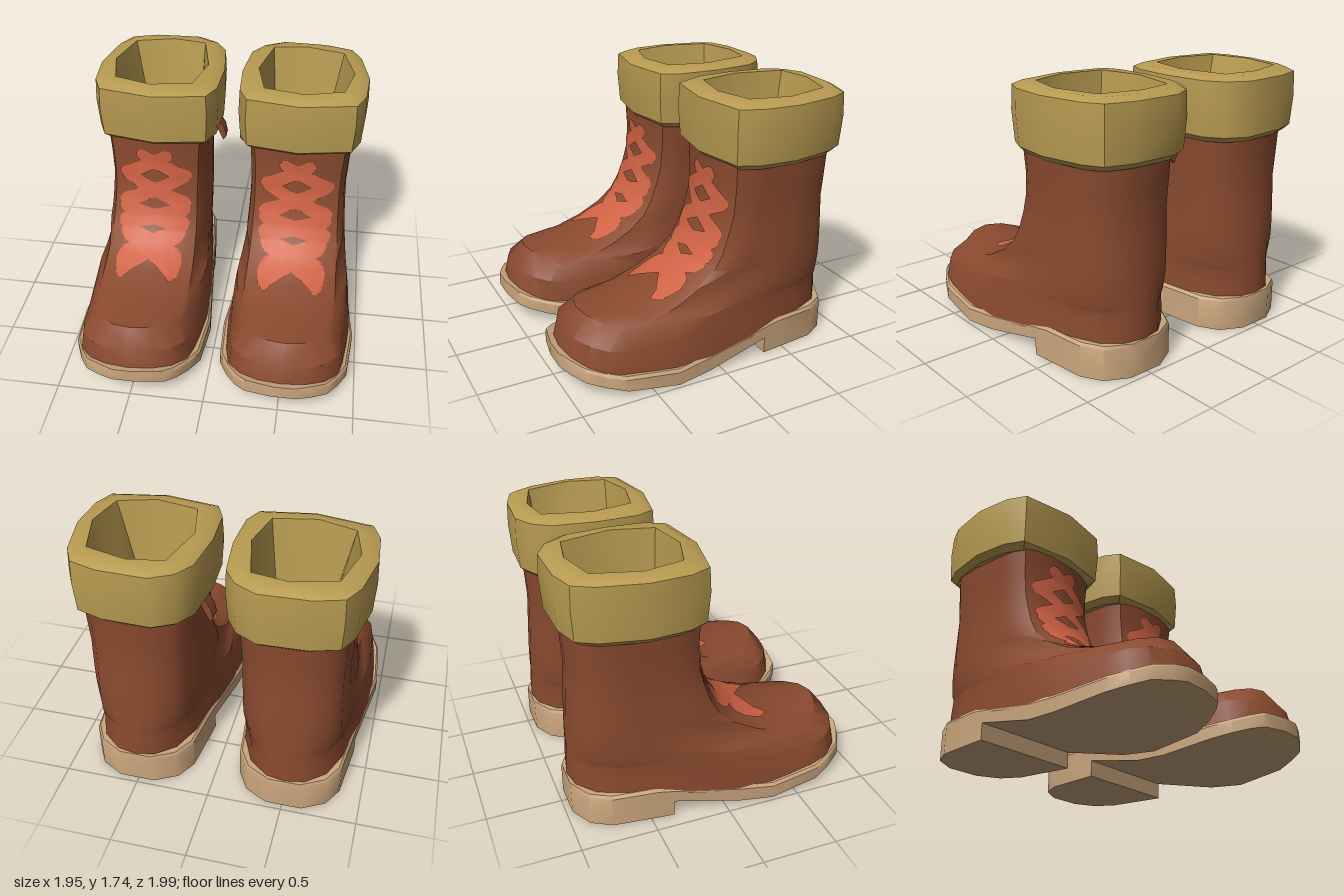
import * as THREE from 'three';
import { mergeGeometries, toCreasedNormals } from 'three/addons/utils/BufferGeometryUtils.js';

const mat = (name, color, side = THREE.FrontSide) => {
  const m = new THREE.MeshStandardMaterial({ color, side });
  m.name = name;
  return m;
};
const lerp = THREE.MathUtils.lerp;

// Surface through rows of points [x, y, z]; sign -1 gives the mirrored one
function grid(rows, sign, closed = false) {
  const pos = [];
  const tri = (...p) => {
    if (sign < 0) p.reverse();
    p.forEach(([x, y, z]) => pos.push(sign * x, y, z));
  };
  for (let r = 0; r + 1 < rows.length; r++) {
    const n = rows[r].length;
    for (let c = 0; c < (closed ? n : n - 1); c++) {
      const d = (c + 1) % n, A = rows[r], B = rows[r + 1];
      tri(A[c], A[d], B[d]);
      tri(A[c], B[d], B[c]);
    }
  }
  const g = new THREE.BufferGeometry();
  g.setAttribute('position', new THREE.Float32BufferAttribute(pos, 3));
  return g;
}

// Sole stations from toe to heel: z, inner x, outer x, bottom y, top y
const SOLE = [
  [0.995, 0.45, 0.62, 0.12, 0.215], [0.96, 0.27, 0.71, 0.11, 0.21], [0.9, 0.2, 0.82, 0.095, 0.19],
  [0.8, 0.13, 0.885, 0.07, 0.165], [0.67, 0.07, 0.945, 0.04, 0.14], [0.33, 0.05, 0.975, 0, 0.11],
  [0.1, 0.075, 0.945, 0.015, 0.13], [-0.35, 0.12, 0.9, 0.11, 0.21], [-0.35, 0.12, 0.9, 0, 0.21],
  [-0.45, 0.13, 0.89, 0, 0.225], [-0.75, 0.165, 0.855, 0, 0.225], [-0.88, 0.24, 0.78, 0, 0.225],
  [-0.96, 0.39, 0.63, 0, 0.225],
];
function soleTop(z) {
  for (let i = 1; i < SOLE.length; i++) {
    const a = SOLE[i - 1], b = SOLE[i];
    if (z >= b[0] && a[0] > b[0]) return lerp(b[4], a[4], Math.min(1, (z - b[0]) / (a[0] - b[0])));
  }
  return 0.225;
}

// Upper rows, bottom to top: centre z, centre y, crease z, crease y, crease half width
const ROWS = [
  [0.965, 0.19, 0.64, 0.14, 0.405], [0.93, 0.33, 0.63, 0.28, 0.38], [0.83, 0.455, 0.65, 0.385, 0.31],
  [0.58, 0.462, 0.45, 0.41, 0.315], [0.33, 0.51, 0.27, 0.47, 0.315], [0.17, 0.58, 0.11, 0.555, 0.31],
  [0.06, 0.665, 0, 0.65, 0.305], [0, 0.76, -0.06, 0.75, 0.3], [-0.045, 0.87, -0.105, 0.87, 0.295],
  [-0.075, 1, -0.14, 1, 0.295], [-0.09, 1.16, -0.15, 1.16, 0.298], [-0.085, 1.33, -0.145, 1.33, 0.31],
];
const TOE = 2; // row of the toe cap edge
const centreX = (y) => 0.515 - 0.015 * Math.min(1, y);
const backZ = (y) => (y < 1 ? lerp(-0.953, -0.91, Math.max(0, y - 0.3) / 0.7) : lerp(-0.91, -0.925, (y - 1) / 0.3));
const halfWidth = (y, z) => 0.338 + 0.015 * Math.max(0, y - 1) / 0.3 +
  0.1 * Math.pow(THREE.MathUtils.clamp((1 - y) / 0.8, 0, 1), 1.7) * lerp(0.1, 1, THREE.MathUtils.smoothstep(z, -0.9, 0.3));
const bottomY = (z) => soleTop(z) - 0.035;

// Point across the front of a row, a from -90 to 90 degrees
function frontPoint([zc, yc, zk, yk, hw], a, round) {
  const c = Math.max(0, Math.cos(a));
  const k = round ? c ** 0.88 : c ** 2;
  const y = lerp(yk, yc, k);
  return [centreX(yc) + hw * Math.sin(a), y, lerp(zk, zc, k)];
}
const ANGLES = [...Array(9).keys()].map((i) => (i / 8 - 0.5) * Math.PI);
const frontRow = (i) => ANGLES.map((a) => {
  const p = frontPoint(ROWS[i], a, i < TOE);
  if (i === 0) p[1] = bottomY(p[2]);
  return p;
});

// Points from one crease round the heel to the other: [depth fraction, width factor]
const SIDE = [[0.1, 0.97], [0.22, 1], [0.36, 1], [0.56, 1], [0.8, 0.94], [0.92, 0.73], [0.985, 0.37], [1, 0]];
function sideRow(i) {
  const [, yc, zk, yk, hw] = ROWS[i];
  const half = SIDE.map(([s, f]) => {
    let y = yk + 0.03 * s * (i < 5 ? 1 : 0);
    const z = lerp(zk, backZ(y), s);
    if (i === 0) y = bottomY(z);
    // the foot widens gradually behind the panel edge
    const spread = i > 0 && i < 6 ? Math.min(1, s / 0.36) : 1;
    return [lerp(hw, f * halfWidth(y, z), spread), y, z];
  });
  const x = centreX(yc);
  return [
    ...half.map(([w, y, z]) => [x + w, y, z]),
    ...half.slice(0, -1).reverse().map(([w, y, z]) => [x - w, y, z]),
  ];
}

function upperGeometry(sign) {
  const low = [], side = [], panel = [];
  ROWS.forEach((_, i) => {
    const f = frontRow(i), s = sideRow(i);
    if (i <= TOE) low.push([...f, ...s]);
    if (i >= TOE) {
      panel.push(f);
      side.push([f[f.length - 1], ...s, f[0]]);
    }
  });
  return mergeGeometries([grid(low, sign, true), grid(side, sign), grid(panel, sign)]);
}

// Point just above the front panel at sideways offset dx and height y
function lacePoint(dx, y) {
  let i = TOE + 1;
  while (i < ROWS.length - 2 && ROWS[i + 1][1] < y) i++;
  const A = ROWS[i], B = ROWS[i + 1], t = (y - A[1]) / (B[1] - A[1]);
  const row = A.map((v, k) => lerp(v, B[k], t));
  const p = frontPoint(row, Math.asin(THREE.MathUtils.clamp(dx / row[4], -1, 1)), false);
  const dz = B[0] - A[0], dy = B[1] - A[1], len = Math.hypot(dz, dy);
  return [p[0], p[1] - 0.008 * dz / len, p[2] + 0.008 * dy / len];
}
// Crossed laces: upper offset, upper y, lower offset, lower y
const LACES = [[0.1, 1.23, 0.225, 1.04], [0.225, 1.06, 0.225, 0.84], [0.225, 0.81, 0.225, 0.71], [0.205, 0.67, 0.205, 0.535]];
function laceGeometry(sign) {
  const strips = [];
  for (const [x0, y0, x1, y1] of LACES) for (const m of [-1, 1]) {
    const dx = -m * (x1 + x0), dy = y1 - y0, len = Math.hypot(dx, dy), rows = [];
    for (let i = 0; i <= 20; i++) {
      const t = lerp(-0.06, 1.06, i / 20);
      const w = 0.05 * Math.min(1, 0.45 + Math.min(i, 20 - i) * 0.35);
      const x = m * x0 + dx * t, y = y0 + dy * t;
      rows.push([-1, -0.5, 0, 0.5, 1].map((k) => lacePoint(x - k * w * dy / len, y + k * w * dx / len)));
    }
    strips.push(grid(rows, sign));
  }
  return mergeGeometries(strips);
}

function soleGeometry(sign) {
  const rows = SOLE.map(([z, l, r, b, t]) => [
    [l + 0.015, t, z], [r - 0.015, t, z], [r, t - 0.02, z], [r, b, z], [l, b, z], [l, t - 0.02, z],
  ]);
  const cap = ([z, l, r, b, t]) => Array(6).fill([(l + r) / 2, (b + t) / 2, z]);
  return grid([cap(SOLE[0]), ...rows, cap(SOLE[SOLE.length - 1])], sign, true);
}

// Cuff outlines seen from above, from the front round by the outer side
const CUFF = [[0.49, -0.037], [0.86, -0.105], [0.92, -0.24], [0.94, -0.5], [0.88, -0.8], [0.81, -0.93], [0.63, -0.985],
  [0.31, -0.995], [0.17, -0.92], [0.09, -0.8], [0.055, -0.5], [0.07, -0.22], [0.13, -0.095]];
const HOLE = [[0.52, -0.165], [0.77, -0.24], [0.77, -0.24], [0.83, -0.5], [0.75, -0.8], [0.75, -0.8], [0.48, -0.87],
  [0.48, -0.87], [0.25, -0.83], [0.25, -0.83], [0.175, -0.5], [0.24, -0.22], [0.24, -0.22]];
const FLOOR = [[0.5, -0.235], [0.66, -0.25], [0.66, -0.25], [0.665, -0.5], [0.67, -0.75], [0.67, -0.75], [0.48, -0.78],
  [0.48, -0.78], [0.285, -0.75], [0.285, -0.75], [0.24, -0.5], [0.285, -0.25], [0.285, -0.25]];
function cuffGeometry(sign) {
  const ring = (o, y, s) => o.map(([x, z]) => [0.497 + (x - 0.497) * s, y, -0.52 + (z + 0.52) * s]);
  return grid([
    ring(CUFF, 1.31, 0.7), ring(CUFF, 1.31, 0.88), ring(CUFF, 1.35, 0.97), ring(CUFF, 1.55, 1),
    ring(CUFF, 1.705, 0.985), ring(CUFF, 1.732, 0.87), ring(HOLE, 1.735, 1),
    ring(FLOOR, 1.22, 1), ring(FLOOR, 1.22, 0),
  ], sign, true);
}

// Small pull tab hanging on the inner side
function tabGeometry(sign) {
  const outline = [[0.16, 1.33], [0.12, 1.33], [0.065, 1.24], [0.05, 1.17], [0.072, 1.14], [0.1, 1.2], [0.13, 1.27]];
  const shape = new THREE.Shape(outline.map(([x, y]) => new THREE.Vector2(sign * x, y)));
  return new THREE.ExtrudeGeometry(shape, { depth: 0.09, bevelEnabled: false }).translate(0, 0, -0.58);
}

export function createModel() {
  const leather = mat('brown leather', 0x8a4a2f);
  const lace = mat('red lace', 0xcf6244, THREE.DoubleSide);
  const fur = mat('tan cuff', 0xb89b51);
  const rubber = mat('beige sole', 0xcaa57d);
  const model = new THREE.Group();
  model.name = 'boots';
  for (const sign of [1, -1]) {
    const boot = new THREE.Group();
    boot.name = sign > 0 ? 'leftBoot' : 'rightBoot';
    const add = (name, geometry, material, crease) => {
      const mesh = new THREE.Mesh(toCreasedNormals(geometry, crease), material);
      mesh.name = name;
      boot.add(mesh);
    };
    add('upper', upperGeometry(sign), leather, 0.62);
    add('laces', laceGeometry(sign), lace, 0.8);
    add('sole', soleGeometry(sign), rubber, 0.6);
    add('cuff', cuffGeometry(sign), fur, 0.6);
    add('pullTab', tabGeometry(sign), leather, 0.5);
    model.add(boot);
  }
  return model;
}
